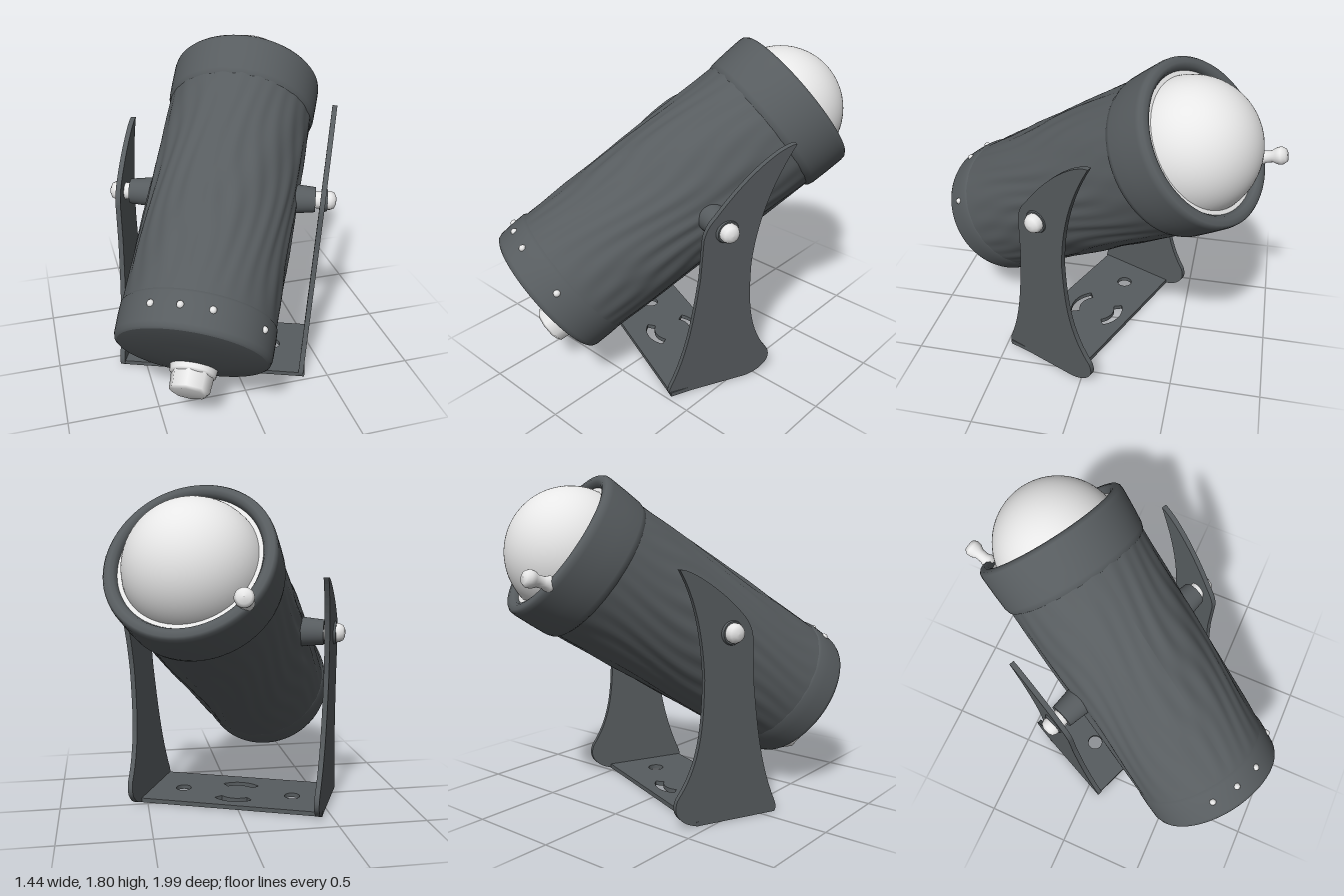
import * as THREE from 'three';

const dark = new THREE.MeshStandardMaterial({ color: 0x575c5f });
dark.name = 'charcoal metal';
const pale = new THREE.MeshStandardMaterial({ color: 0xf1f1f1 });
pale.name = 'pale grey';

function add(parent, name, geometry, material, x = 0, y = 0, z = 0) {
  const mesh = new THREE.Mesh(geometry, material);
  mesh.name = name;
  mesh.position.set(x, y, z);
  parent.add(mesh);
  return mesh;
}

const lathe = (pts, sides = 72) =>
  new THREE.LatheGeometry(pts.map(([r, y]) => new THREE.Vector2(r, y)), sides);

// Open tube with wavering lengthwise ridges, fading out at both ends
function ridgedTube(topRadius, bottomRadius, bottom, top) {
  const h = top - bottom;
  const geo = new THREE.CylinderGeometry(topRadius, bottomRadius, h, 144, 44, true);
  geo.translate(0, (top + bottom) / 2, 0);
  const p = geo.attributes.position;
  for (let i = 0; i < p.count; i++) {
    const a = Math.atan2(p.getZ(i), p.getX(i));
    const y = p.getY(i);
    const fade = Math.sqrt(Math.max(0, Math.sin(Math.PI * (y - bottom) / h)));
    const wave = Math.sin(26 * a + 2.2 * Math.sin(6 * y + 3 * a))
      + 0.6 * Math.sin(15 * a + 9 * y + 1.5 * Math.sin(4 * a));
    const k = 1 + 0.009 * fade * wave;
    p.setX(i, p.getX(i) * k);
    p.setZ(i, p.getZ(i) * k);
  }
  geo.computeVertexNormals();
  return geo;
}

// Group at one end of the barrel, tipped slightly off square
function barrelEnd(lamp, name, y) {
  const end = new THREE.Group();
  end.name = name;
  end.position.y = y;
  end.rotation.x = 0.055;
  lamp.add(end);
  return end;
}

// Lamp housing: local y runs along the barrel towards the lens
function buildLamp() {
  const lamp = new THREE.Group();
  lamp.name = 'lamp';
  const axis = new THREE.Vector3(0.387, 0.542, -0.752).normalize();
  const side = new THREE.Vector3(-axis.z, 0, axis.x).normalize();
  const up = new THREE.Vector3().crossVectors(side, axis);
  lamp.quaternion.setFromRotationMatrix(new THREE.Matrix4().makeBasis(side, axis, up));
  lamp.position.set(-0.003, 0.998, 0.033);
  add(lamp, 'barrel', ridgedTube(0.419, 0.403, -0.75, 0.62), dark);

  // Slightly domed rear cap
  const rear = barrelEnd(lamp, 'rearEnd', -0.82);
  add(rear, 'rearCapFace', lathe([[0, -0.12], [0.2, -0.117], [0.33, -0.108], [0.387, -0.1]]), dark);
  add(rear, 'rearCap', lathe([[0.387, -0.1], [0.4, -0.091], [0.407, -0.07],
    [0.41, 0.02], [0.409, 0.085], [0.399, 0.1]]), dark);

  // Screws around the rear cap
  for (const degrees of [26, 70, 92, 114]) {
    const a = THREE.MathUtils.degToRad(degrees);
    add(rear, 'capScrew', new THREE.SphereGeometry(0.019, 10, 8), pale,
      0.407 * Math.cos(a), 0.018, 0.407 * Math.sin(a));
  }

  // Collar, domed lens and its thin seat ring
  const front = barrelEnd(lamp, 'lensEnd', 0.72);
  add(front, 'lensCollar', lathe([[0.405, -0.155], [0.426, -0.14], [0.434, -0.11], [0.438, -0.02], [0.44, 0.085],
    [0.437, 0.108], [0.426, 0.122], [0.4, 0.126], [0.38, 0.118], [0.368, 0.095], [0.362, 0.02]]), dark);
  add(front, 'lensDome', new THREE.SphereGeometry(0.355, 64, 32, 0, Math.PI * 2, 0, Math.PI / 2), pale, 0, 0.013, 0);
  add(front, 'lensSeat', new THREE.RingGeometry(0.3, 0.37, 64).rotateX(-Math.PI / 2), pale, 0, 0.092, 0);

  // Cable gland under the rear cap
  const offset = new THREE.Vector3(0.035, -0.18, -0.112);
  const gland = new THREE.Group();
  gland.name = 'cableGland';
  gland.position.set(offset.dot(side), 0.01, offset.dot(up));
  lamp.add(gland);
  add(gland, 'glandFlange', lathe([[0, -0.985], [0.1, -0.985], [0.125, -0.968], [0.134, -0.88]], 32), pale);
  add(gland, 'glandPlug', lathe([[0, -1.075], [0.09, -1.075], [0.11, -1.06], [0.118, -0.96]], 8), pale);
  return lamp;
}

// Small knob on the lens collar
function buildKnob() {
  const knob = new THREE.Group();
  knob.name = 'collarKnob';
  knob.position.set(0.08, 1.265, -0.845);
  knob.quaternion.setFromUnitVectors(new THREE.Vector3(0, 1, 0),
    new THREE.Vector3(0.03, 0.04, -0.125).normalize());
  add(knob, 'knobStem', lathe([[0, -0.01], [0.045, -0.01], [0.042, 0.02], [0.031, 0.045],
    [0.031, 0.08], [0.044, 0.105], [0.047, 0.13], [0.034, 0.152], [0, 0.157]], 20), pale);
  return knob;
}

// Fin-shaped side arm, outlined in depth and height
function armGeometry(tipDepth, tip) {
  const s = new THREE.Shape();
  s.moveTo(0.29, 0);
  s.quadraticCurveTo(0.305, 0.02, 0.29, 0.06);
  s.bezierCurveTo(0.19, 0.28, 0.165, 0.5, 0.135, 0.75);
  s.lineTo(0.125, 0.98);
  s.quadraticCurveTo(0.115, 1.05, 0.065, 1.1);
  s.quadraticCurveTo(tipDepth + 0.255, tip - 0.12, tipDepth + 0.095, tip - 0.03);
  s.quadraticCurveTo(tipDepth + 0.025, tip + 0.005, tipDepth, tip);
  s.quadraticCurveTo(-0.175, 1.14, -0.155, 0.78);
  s.bezierCurveTo(-0.155, 0.5, -0.18, 0.32, -0.3, 0.16);
  s.quadraticCurveTo(-0.325, 0.1, -0.29, 0.06);
  s.quadraticCurveTo(-0.25, 0.01, -0.17, 0);
  const geo = new THREE.ExtrudeGeometry(s, { depth: 0.028, bevelEnabled: false, curveSegments: 12 });
  return geo.translate(0, 0, -0.014).rotateY(-Math.PI / 2);
}

// Base plate with two bolt holes and two curved slots
function baseGeometry() {
  const s = new THREE.Shape();
  s.moveTo(-0.53, -0.29);
  s.lineTo(0.53, -0.29);
  s.lineTo(0.53, 0.19);
  s.lineTo(-0.53, 0.19);
  s.closePath();
  for (const m of [-1, 1]) {
    const hole = new THREE.Path();
    hole.absarc(m * 0.33, -0.03, 0.045, 0, Math.PI * 2);
    s.holes.push(hole);
    const slot = new THREE.Path();
    const mid = m * Math.PI / 2;
    slot.absarc(0, -0.03, 0.16, mid - 0.75, mid + 0.75, false);
    slot.absarc(0, -0.03, 0.11, mid + 0.75, mid - 0.75, true);
    slot.closePath();
    s.holes.push(slot);
  }
  return new THREE.ExtrudeGeometry(s, { depth: 0.025, bevelEnabled: false, curveSegments: 20 })
    .rotateX(-Math.PI / 2);
}

function buildBracket() {
  const bracket = new THREE.Group();
  bracket.name = 'bracket';
  bracket.rotation.y = -0.375;
  bracket.position.set(-0.022, 0, 0.012);
  add(bracket, 'basePlate', baseGeometry(), dark);
  const sides = [
    { m: 1, name: 'left', lean: 0.055, tipDepth: -0.36, tip: 1.44 },
    { m: -1, name: 'right', lean: 0.02, tipDepth: -0.3, tip: 1.34 },
  ];
  for (const { m, name, lean, tipDepth, tip } of sides) {
    const arm = add(bracket, name + 'Arm', armGeometry(tipDepth, tip), dark, m * 0.525, 0, 0);
    arm.rotation.set(0, -0.06, -m * lean);

    // Pivot: boss and shank on the inside, washer and bolt head on the outside
    const pivot = new THREE.Group();
    pivot.name = name + 'Pivot';
    pivot.position.set(0.018, 1.01, 0);
    pivot.rotation.z = -m * Math.PI / 2;
    bracket.add(pivot);
    add(pivot, 'boss', new THREE.CylinderGeometry(0.07, 0.085, 0.145, 32), dark, 0, 0.4475, 0);
    add(pivot, 'shank', new THREE.CylinderGeometry(0.048, 0.048, 0.05, 20), pale, 0, 0.535, 0);
    add(pivot, 'washer', new THREE.CylinderGeometry(0.06, 0.07, 0.025, 32), dark, 0, 0.575, 0);
    add(pivot, 'boltHead', lathe([[0.052, 0.575], [0.053, 0.603], [0.043, 0.624], [0.022, 0.634], [0, 0.636]], 16), pale);
  }
  return bracket;
}

export function createModel() {
  const model = new THREE.Group();
  model.name = 'spotlight';
  model.add(buildLamp(), buildKnob(), buildBracket());
  return model;
}
